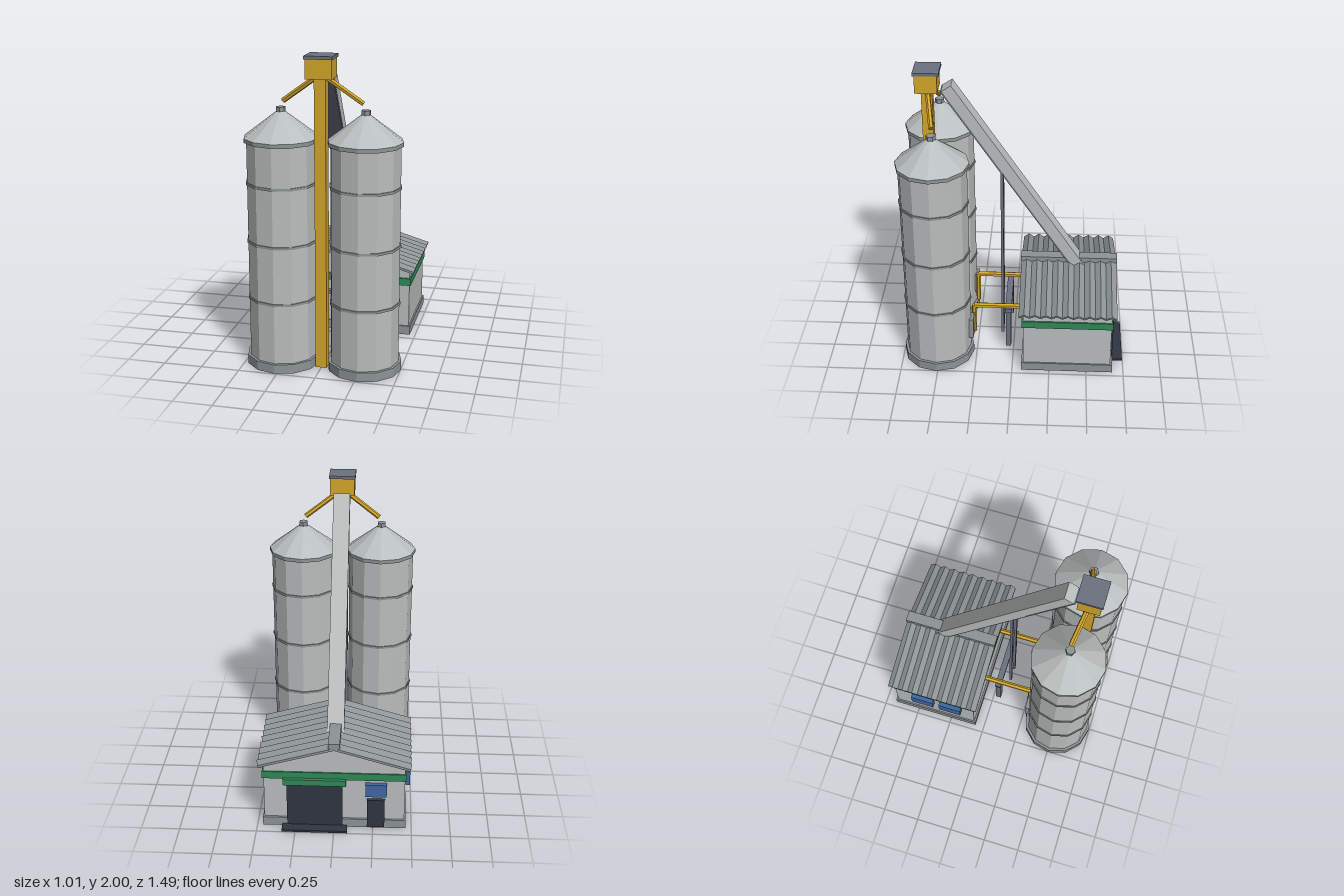
import * as THREE from 'three';

const mat = (name, color) => {
  const m = new THREE.MeshStandardMaterial({ color, flatShading: true });
  m.name = name;
  return m;
};

export function createModel() {
  const galvanised = mat('galvanised', 0xb9bfbe);
  const trimGrey = mat('trim grey', 0x8e9494);
  const yellow = mat('safety yellow', 0xd4a62a);
  const steel = mat('blue grey steel', 0x6b7280);
  const green = mat('green', 0x2f8a57);
  const dark = mat('dark door', 0x2f3542);
  const blue = mat('window blue', 0x4068a4);

  const model = new THREE.Group();
  model.name = 'grainSilos';

  const add = (parent, name, geo, material) => {
    const mesh = new THREE.Mesh(geo, material);
    mesh.name = name;
    parent.add(mesh);
    return mesh;
  };
  // Box given by its min and max on each axis
  const box = (parent, name, material, x0, x1, y0, y1, z0, z1) => {
    const m = add(parent, name, new THREE.BoxGeometry(x1 - x0, y1 - y0, z1 - z0), material);
    m.position.set((x0 + x1) / 2, (y0 + y1) / 2, (z0 + z1) / 2);
    return m;
  };
  // Upright drum from y0 to y1
  const drum = (parent, name, material, rBottom, rTop, y0, y1, sides = 12) => {
    const m = add(parent, name, new THREE.CylinderGeometry(rTop, rBottom, y1 - y0, sides), material);
    m.position.y = (y0 + y1) / 2;
    return m;
  };
  // Straight pipe between two points
  const pipe = (parent, name, material, a, b, r) => {
    const from = new THREE.Vector3(...a), to = new THREE.Vector3(...b);
    const dir = to.clone().sub(from);
    const m = add(parent, name, new THREE.CylinderGeometry(r, r, dir.length(), 6), material);
    m.position.copy(from).add(to).multiplyScalar(0.5);
    m.quaternion.setFromUnitVectors(new THREE.Vector3(0, 1, 0), dir.normalize());
    return m;
  };

  for (const s of [-1, 1]) {
    // Silo: base, shell, bands, conical roof, cap and rear hatch
    const silo = new THREE.Group();
    silo.name = s > 0 ? 'leftSilo' : 'rightSilo';
    silo.position.set(s * 0.266, 0, 0.508);
    drum(silo, 'siloBase', trimGrey, 0.238, 0.238, 0, 0.06).material = trimGrey;
    drum(silo, 'siloShell', galvanised, 0.22, 0.22, 0.06, 1.46);
    for (const y of [0.452, 0.824, 1.196]) drum(silo, 'siloBand', trimGrey, 0.227, 0.227, y - 0.008, y + 0.008);
    drum(silo, 'siloEave', trimGrey, 0.235, 0.235, 1.455, 1.48);
    drum(silo, 'siloRoof', galvanised, 0.235, 0.025, 1.48, 1.642);
    drum(silo, 'siloCap', trimGrey, 0.03, 0.03, 1.635, 1.667, 6);
    box(silo, 'siloHatch', trimGrey, -0.042, 0.042, 0.14, 0.29, -0.24, -0.2);
    model.add(silo);

    // Filling spout from the elevator head
    pipe(model, 'spout', yellow, [s * 0.03, 1.865, 0.547], [s * 0.25, 1.705, 0.505], 0.017);

    // Unloading auger with its drop pipe and support leg
    pipe(model, 'auger', yellow, [s * 0.187, 0.328, -0.1], [s * 0.187, 0.328, 0.27], 0.018);
    pipe(model, 'augerDrop', yellow, [s * 0.187, 0.11, 0.27], [s * 0.187, 0.328, 0.27], 0.016);
    box(model, 'augerLeg', steel, s * 0.187 - 0.02, s * 0.187 + 0.02, 0, 0.3, 0.018, 0.054);

    // Tall posts under the conveyor
    box(model, 'conveyorPost', steel, s * 0.045 - 0.009, s * 0.045 + 0.009, 0, 1.3, 0.074, 0.092);
  }
  box(model, 'augerBeam', steel, -0.223, 0.223, 0.295, 0.322, 0.015, 0.057);

  // Bucket elevator
  box(model, 'elevatorLeg', yellow, -0.036, 0.036, 0, 1.87, 0.517, 0.588);
  box(model, 'elevatorHead', yellow, -0.082, 0.082, 1.86, 1.98, 0.48, 0.622);
  box(model, 'elevatorLid', steel, -0.088, 0.088, 1.98, 2, 0.467, 0.632);

  // Sloping conveyor from the building ridge up to the elevator head
  const top = new THREE.Vector3(0, 1.885, 0.427), foot = new THREE.Vector3(0, 0.565, -0.443);
  const conveyor = new THREE.Group();
  conveyor.name = 'conveyor';
  conveyor.position.copy(top).add(foot).multiplyScalar(0.5);
  conveyor.rotation.x = -Math.atan2(top.y - foot.y, top.z - foot.z);
  const half = top.distanceTo(foot) / 2;
  box(conveyor, 'conveyorCasing', galvanised, -0.055, 0.055, -0.034, 0.037, -half, half);
  box(conveyor, 'conveyorUnderside', steel, -0.052, 0.052, -0.046, -0.034, -half, half);
  model.add(conveyor);

  // Building
  const house = new THREE.Group();
  house.name = 'building';
  model.add(house);
  box(house, 'plinth', trimGrey, -0.463, 0.463, 0, 0.06, -0.675, -0.063);
  const gable = new THREE.Shape([[-0.453, 0.06], [0.453, 0.06], [0.453, 0.455], [0, 0.59], [-0.453, 0.455]]
    .map(p => new THREE.Vector2(...p)));
  add(house, 'walls', new THREE.ExtrudeGeometry(gable, { depth: 0.585, bevelEnabled: false }), galvanised)
    .position.z = -0.66;
  box(house, 'greenBand', green, -0.463, 0.463, 0.355, 0.405, -0.669, -0.063);

  // Corrugated roof: a zigzag sheet extruded up each slope
  const waves = 9, length = 0.646, amp = 0.022, thick = 0.016;
  const upper = [], lower = [];
  for (let i = 0; i <= waves * 2; i++) {
    const z = -length / 2 + (length * i) / (waves * 2);
    const h = (i % 2 ? 0.5 : -0.5) * amp;
    upper.push(new THREE.Vector2(z, h));
    lower.unshift(new THREE.Vector2(z, h - thick));
  }
  const sheet = new THREE.Shape([...upper, ...lower]);
  const run = 0.49, rise = 0.142, slope = Math.atan2(rise, run);
  const sheetGeo = new THREE.ExtrudeGeometry(sheet, { depth: Math.hypot(run, rise), bevelEnabled: false });
  sheetGeo.applyMatrix4(new THREE.Matrix4().makeBasis(
    new THREE.Vector3(0, 0, 1),
    new THREE.Vector3(Math.sin(slope), Math.cos(slope), 0),
    new THREE.Vector3(-Math.cos(slope), Math.sin(slope), 0)
  ).setPosition(run, 0.472, 0));
  for (const turn of [0, Math.PI]) {
    const side = add(house, 'roofSheet', sheetGeo, trimGrey);
    side.position.z = -0.368;
    side.rotation.y = turn;
  }
  box(house, 'ridgeCap', trimGrey, -0.037, 0.037, 0.6, 0.635, -0.695, -0.043);

  // Loading door, lintel, ramp and small door on the back
  box(house, 'loadingDoor', dark, -0.053, 0.305, 0.01, 0.325, -0.68, -0.655);
  box(house, 'doorLintel', green, -0.075, 0.327, 0.32, 0.362, -0.692, -0.655);
  box(house, 'ramp', dark, -0.085, 0.337, 0, 0.014, -0.747, -0.66);
  box(house, 'smallDoor', dark, -0.325, -0.212, 0.01, 0.215, -0.683, -0.655);

  // Windows
  box(house, 'backWindow', blue, -0.337, -0.2, 0.245, 0.335, -0.69, -0.655);
  for (const z of [-0.45, -0.245]) {
    box(house, 'sideWindow', blue, -0.487, -0.45, 0.24, 0.338, z - 0.08, z + 0.08);
  }

  return model;
}
